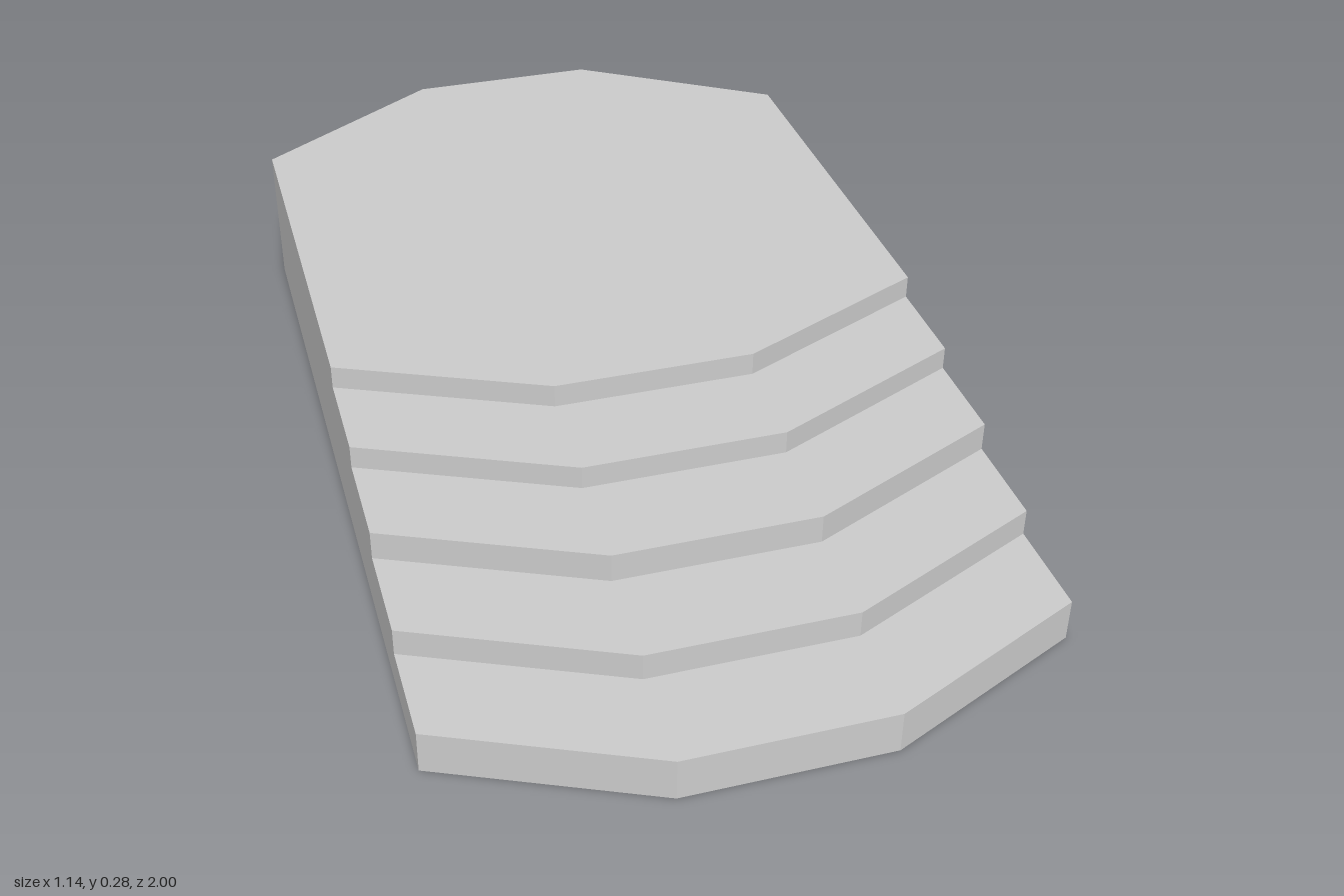
import * as THREE from 'three';

const W = 0.57, M = 0.19;                            // half width, half width of the middle facet
const STEP = 0.19;                                   // tread depth
const HEIGHTS = [0.082, 0.134, 0.19, 0.235, 0.28];   // top of each step, last is the platform
const BACK_SIDE = -0.755, BACK = -1;

const material = new THREE.MeshStandardMaterial({ color: 0xcccccc, flatShading: true, side: THREE.DoubleSide });

// Four-point line across the model, from -x to +x
const across = (y, zSide, zMiddle) =>
  [[-W, y, zSide], [-M, y, zMiddle], [M, y, zMiddle], [W, y, zSide]];
// Bowed front edge of step i at height y
const stepEdge = (i, y) => across(y, 0.83 - STEP * i, 1 - STEP * i);
const backEdge = (y) => across(y, BACK_SIDE, BACK);

// Flat facets joining two lines, which run left to right as seen from the facing side
function strip(name, lower, upper) {
  const pos = [];
  for (let i = 0; i < lower.length - 1; i++) {
    const [a, b, c, d] = [lower[i], lower[i + 1], upper[i], upper[i + 1]];
    pos.push(...a, ...b, ...d, ...a, ...d, ...c);
  }
  const g = new THREE.BufferGeometry();
  g.setAttribute('position', new THREE.Float32BufferAttribute(pos, 3));
  g.computeVertexNormals();
  const mesh = new THREE.Mesh(g, material);
  mesh.name = name;
  return mesh;
}

export function createModel() {
  const model = new THREE.Group();
  model.name = 'steppedPlatform';
  const last = HEIGHTS.length - 1;

  HEIGHTS.forEach((y, i) => {
    const yBelow = i ? HEIGHTS[i - 1] : 0;
    const step = new THREE.Group();
    step.name = i < last ? `step${i + 1}` : 'platform';

    // Riser and the tread behind it; the platform top runs to the back
    step.add(strip('riser', stepEdge(i, yBelow), stepEdge(i, y)));
    step.add(strip(i < last ? 'tread' : 'platformTop', stepEdge(i, y),
      i < last ? stepEdge(i + 1, y) : backEdge(y)));

    // Side walls down to the ground
    const z0 = 0.83 - STEP * i;
    const z1 = i < last ? z0 - STEP : BACK_SIDE;
    step.add(strip('leftWall', [[W, 0, z0], [W, 0, z1]], [[W, y, z0], [W, y, z1]]));
    step.add(strip('rightWall', [[-W, 0, z1], [-W, 0, z0]], [[-W, y, z1], [-W, y, z0]]));
    model.add(step);
  });

  // Faceted back wall, and a floor that leaves the steps open underneath
  model.add(strip('backWall', backEdge(0).reverse(), backEdge(HEIGHTS[last]).reverse()));
  model.add(strip('floor', backEdge(0), stepEdge(5, 0)));
  return model;
}
